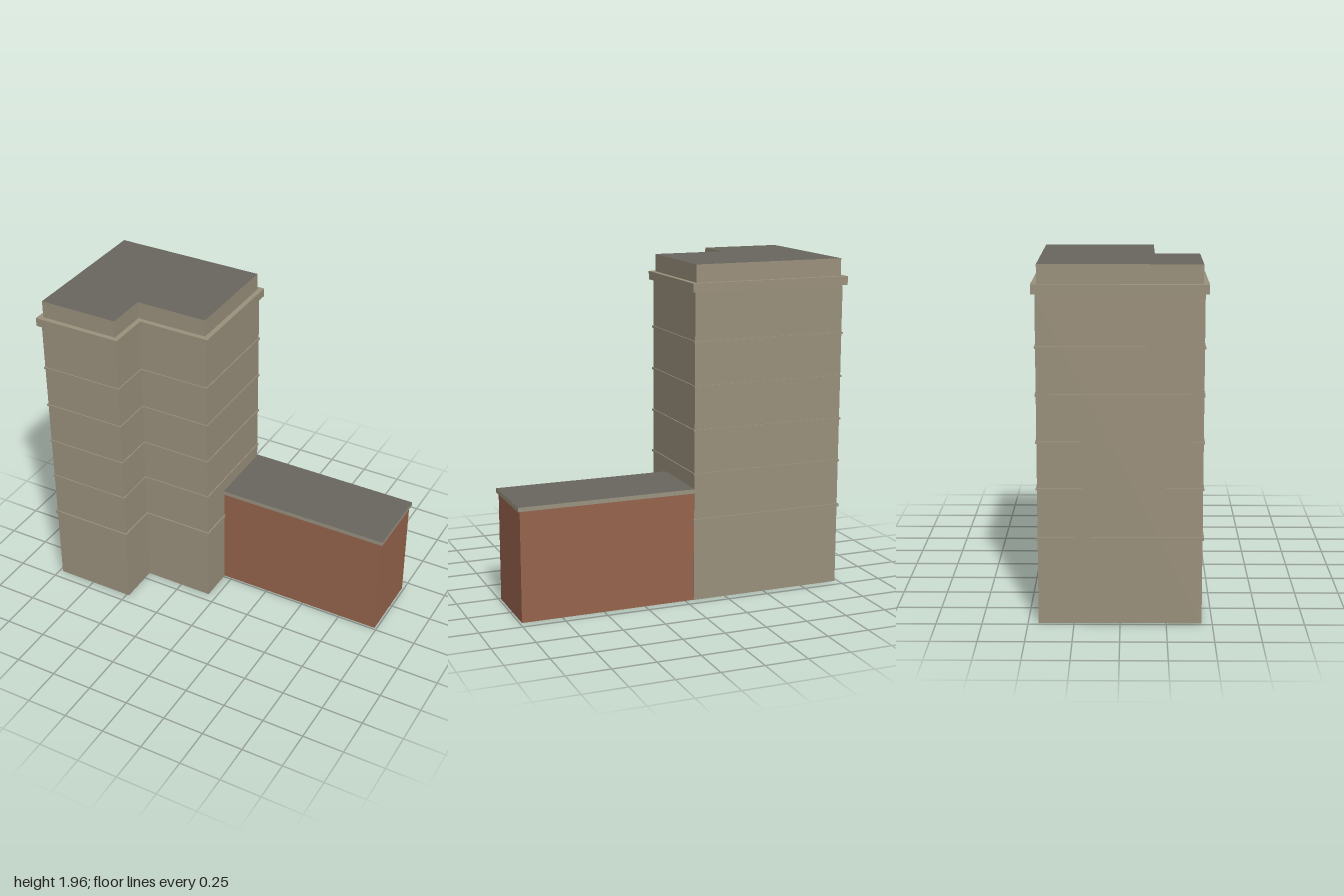
import * as THREE from 'three';

function mat(name, color) {
  const m = new THREE.MeshStandardMaterial({ color });
  m.name = name;
  return m;
}

export function createModel() {
  const stone = mat('tan stone', 0x9a907c);
  const brick = mat('red brick', 0x96634c);
  const roof = mat('grey roofing', 0x68665f);
  const coping = mat('grey coping', 0x98927f);

  const model = new THREE.Group();
  model.name = 'building';

  // L-shaped storey of the tower, grown outward by "grow", from y0 to y1
  function towerLayer(name, grow, y0, y1, capMaterial = stone) {
    const left = -0.98 - grow, right = -0.052 + grow;
    const back = -0.4425 - grow, front = 0.4425 + grow;
    const notchX = -0.484 + grow, notchZ = 0.195 + grow;
    const outline = [
      [left, front], [notchX, front], [notchX, notchZ],
      [right, notchZ], [right, back], [left, back],
    ].map(([x, z]) => new THREE.Vector2(x, -z));
    const geometry = new THREE.ExtrudeGeometry(new THREE.Shape(outline), {
      depth: y1 - y0, bevelEnabled: false,
    });
    geometry.rotateX(-Math.PI / 2);
    geometry.translate(0, y0, 0);
    const mesh = new THREE.Mesh(geometry, [capMaterial, stone]);
    mesh.name = name;
    model.add(mesh);
  }

  function box(name, x0, x1, y0, y1, z0, z1, material) {
    const geometry = new THREE.BoxGeometry(x1 - x0, y1 - y0, z1 - z0);
    geometry.translate((x0 + x1) / 2, (y0 + y1) / 2, (z0 + z1) / 2);
    const mesh = new THREE.Mesh(geometry, material);
    mesh.name = name;
    model.add(mesh);
  }

  // Tower: walls, cornice and roofed parapet
  towerLayer('towerWalls', 0, 0, 1.805);
  towerLayer('cornice', 0.021, 1.803, 1.853);
  towerLayer('parapet', -0.009, 1.85, 1.955, roof);

  // String courses: a thick one above the base, thin ones at each upper floor
  towerLayer('baseCourse', 0.008, 0.47, 0.488);
  [0.755, 1.01, 1.265, 1.52].forEach((y, i) =>
    towerLayer(`floorCourse${i + 1}`, 0.006, y - 0.006, y + 0.006));

  // Low brick wing with an overhanging flat roof
  box('wingWalls', -0.055, 0.987, 0, 0.647, -0.439, -0.013, brick);
  box('wingRoof', -0.055, 0.999, 0.645, 0.67, -0.45, -0.005,
    [coping, coping, roof, coping, coping, coping]);

  return model;
}
